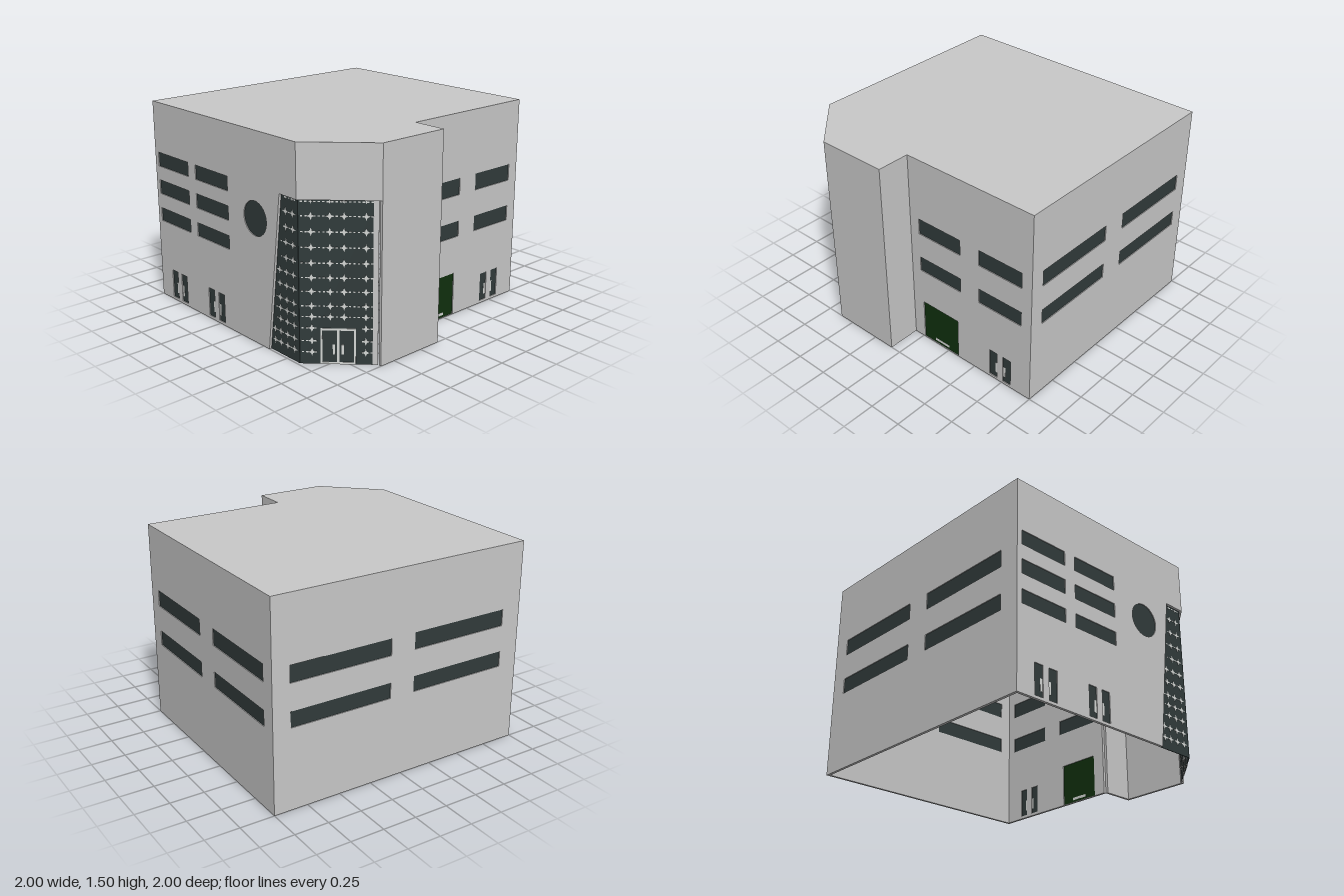
import * as THREE from 'three';
import { mergeGeometries } from 'three/addons/utils/BufferGeometryUtils.js';

const material = (name, color, side = THREE.FrontSide) =>
  Object.assign(new THREE.MeshStandardMaterial({ color, side }), { name });

const H = 1.5;      // wall height
const T = 0.02;     // wall thickness
const EAVE = 1.13;  // underside of the corner overhang

const shapeOf = (pts) => new THREE.Shape(pts.map(([x, y]) => new THREE.Vector2(x, y)));
const rect = (x0, y0, x1, y1) => [[x0, y0], [x1, y0], [x1, y1], [x0, y1]];

export function createModel() {
  const concrete = material('concrete grey', 0xc8c8c8, THREE.DoubleSide);
  const glass = material('dark glass', 0x313b3b);
  const green = material('dark green', 0x10300e);
  const trim = material('light trim', 0xd6d8d6);
  const model = new THREE.Group();
  model.name = 'building';

  const add = (parent, name, geo, mat) => {
    const m = new THREE.Mesh(geo, mat);
    m.name = name;
    parent.add(m);
    return m;
  };

  // Thin slab whose middle lies at depth z in the face's own frame
  const slab = (pts, z, t) => new THREE.ExtrudeGeometry(Array.isArray(pts) ? shapeOf(pts) : pts,
    { depth: t, bevelEnabled: false, curveSegments: 24 }).translate(0, 0, z - t / 2);

  // Group running from plan point a to b; local x along the face, local z outward
  const face = (name, a, b) => {
    const g = new THREE.Group();
    g.name = name;
    g.position.set(a[0], 0, a[1]);
    g.rotation.y = Math.atan2(-(b[1] - a[1]), b[0] - a[0]);
    model.add(g);
    return g;
  };

  // Wall with holes; every opening is filled with a recessed pane
  const wall = (name, a, b, openings = [], outline) => {
    const g = face(name, a, b);
    const len = Math.hypot(b[0] - a[0], b[1] - a[1]);
    const s = shapeOf(outline || rect(0, 0, len, H));
    for (const o of openings) {
      const pane = o.circle ? new THREE.Shape().absarc(...o.circle, 0, Math.PI * 2) : shapeOf(rect(...o.rect));
      s.holes.push(new THREE.Path(pane.getPoints(24)));
      add(g, o.name, slab(pane, -0.01, 0.008), o.mat || glass);
      if (o.handle) add(g, 'handle', slab(rect(...o.handle), -0.01, 0.0098), trim);
    }
    add(g, name + 'Shell', slab(s, -T / 2, T), concrete);
    return g;
  };

  // Opening lists
  const windows = (cols, rows) => cols.flatMap(([x0, x1]) =>
    rows.map(([y0, y1]) => ({ name: 'window', rect: [x0, y0, x1, y1] })));
  const doubleDoor = (c) => [-1, 1].map((s) => {
    const x = (d0, d1) => (s > 0 ? [c + d0, c + d1] : [c - d1, c - d0]);
    const [l, r] = x(0.025, 0.095), [hl, hr] = x(0.025, 0.045);
    return { name: 'doorLeaf', rect: [l, 0.02, r, 0.235], handle: [hl, 0.06, hr, 0.145] };
  });
  const twoRows = [[0.595, 0.71], [0.905, 1.027]];

  // Main walls
  wall('frontWall', [-0.08, 0.75], [1, 0.75], [
    ...windows([[0.08, 0.46], [0.625, 0.995]], twoRows),
    ...doubleDoor(0.815),
    { name: 'garageDoor', rect: [0.095, 0.003, 0.425, 0.32], mat: green, handle: [0.195, 0.02, 0.33, 0.04] },
  ]);
  wall('rightWall', [1, 0.75], [1, -1], windows([[0.11, 0.775], [0.97, 1.64]], twoRows));
  wall('backWall', [1, -1], [-1, -1], windows([[0.13, 0.9], [1.09, 1.85]], twoRows));
  wall('projectingWall', [-0.62, 1], [-0.08, 1]);
  wall('returnWall', [-0.08, 1], [-0.08, 0.75]);

  // Left wall with a slanted cut for the corner glazing
  wall('leftWall', [-1, -1], [-1, 0.62], [
    ...windows([[0.04, 0.42], [0.51, 0.89]], [[0.6, 0.7], [0.81, 0.915], [1.02, 1.125]]),
    ...doubleDoor(0.24), ...doubleDoor(0.71),
    { name: 'roundWindow', circle: [1.19, 0.9, 0.122] },
  ], [[0, 0], [1.31, 0], [1.45, EAVE], [1.62, EAVE], [1.62, H], [0, H]]);

  // Overhang across the cut corner
  wall('cornerOverhang', [-1, 0.62], [-0.62, 1], [], rect(0, EAVE, 0.5374, H));

  // Star joints and dotted lines of the curtain glazing
  const rows = [0.085, 0.165, 0.255, 0.335, 0.41, 0.51, 0.605, 0.705, 0.81, 0.915, 1.02, 1.115];
  const starPts = Array.from({ length: 8 }, (_, i) => {
    const r = i % 2 ? 0.011 : 0.027, a = i * Math.PI / 4;
    return [r * Math.cos(a), r * Math.sin(a)];
  });
  const marks = (cols, u0, u1, keep) => {
    const list = [];
    for (const y of rows) {
      for (const u of cols) if (keep(u, y)) {
        const k = y > 1.1 ? 0.5 : 1;
        list.push(slab(starPts.map(([x, v]) => [x * k, v * k]), 0, 0.008).translate(u, y, 0));
      }
      for (let u = u0; u < u1; u += 0.028) {
        if (keep(u, y)) list.push(slab(rect(-0.007, -0.004, 0.007, 0.004), 0, 0.008).translate(u, y, 0));
      }
    }
    return mergeGeometries(list);
  };

  // Angled curtain glazing with entrance
  const corner = face('cornerGlazing', [-0.98, 0.61], [-0.62, 0.97]);
  add(corner, 'curtainGlass', slab(rect(0, 0, 0.5, EAVE + 0.005), 0, 0.004), glass);
  add(corner, 'jamb', slab(rect(0.475, 0, 0.51, EAVE), 0, 0.009), concrete);
  add(corner, 'glazingJoints', marks([0.08, 0.2, 0.29, 0.43], 0.02, 0.47,
    (u, y) => y > 0.27 || u < 0.11 || u > 0.39), trim);
  for (const r of [[0.135, 0, 0.147, 0.255], [0.243, 0, 0.258, 0.255], [0.353, 0, 0.365, 0.255],
    [0.135, 0.24, 0.365, 0.255], [0.135, 0, 0.365, 0.015]]) {
    add(corner, 'entranceFrame', slab(rect(...r), 0, 0.0095), trim);
  }
  for (const u of [0.215, 0.272]) {
    add(corner, 'entranceHandle', slab(rect(u, 0.07, u + 0.016, 0.14), 0, 0.0095), trim);
  }

  // Tapering glazing on the left side
  const side = face('sideGlazing', [-0.98, -1], [-0.98, 0.61]);
  add(side, 'sideGlass', slab([[1.295, 0], [1.61, 0], [1.61, EAVE + 0.005], [1.435, EAVE + 0.005]], 0, 0.004), glass);
  add(side, 'sideJoints', marks([1.36, 1.42, 1.49, 1.56], 1.33, 1.6,
    (u, y) => u > 1.335 + 0.124 * y), trim);

  // Flat roof
  const plan = [[-1, -1], [1, -1], [1, 0.75], [-0.08, 0.75], [-0.08, 1], [-0.62, 1], [-1, 0.62]];
  const roof = add(model, 'roof', new THREE.ShapeGeometry(shapeOf(plan.map(([x, z]) => [x, -z]))), concrete);
  roof.rotation.x = -Math.PI / 2;
  roof.position.y = H;
  return model;
}
